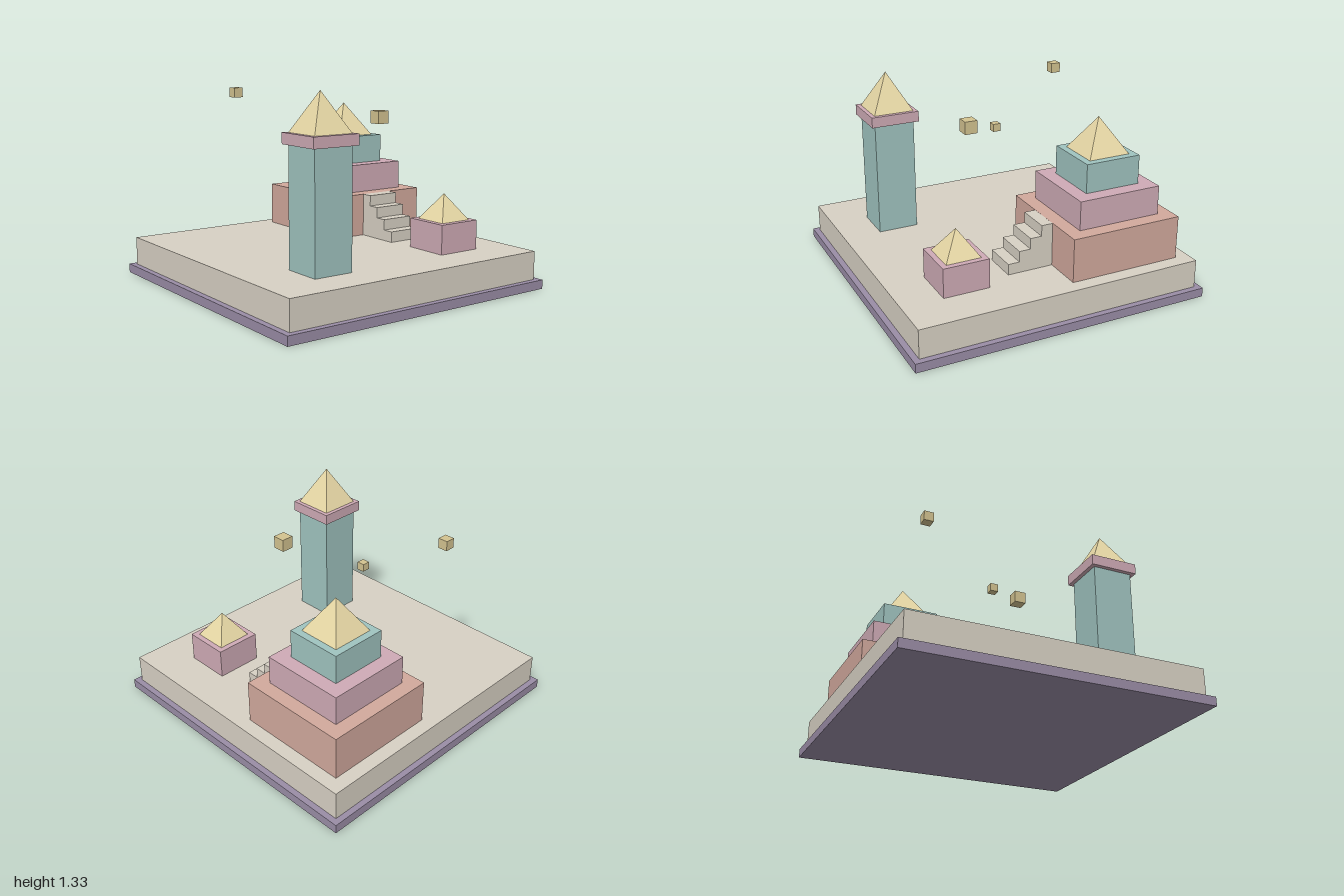
import * as THREE from 'three';

const mat = (color) => new THREE.MeshStandardMaterial({ color, flatShading: true });

export function createModel() {
  const model = new THREE.Group();
  const purple = mat(0x9a8da6), stone = mat(0xd8d1c4), coral = mat(0xd2a99d);
  const pink = mat(0xcfabb6), teal = mat(0xa0c4c0), sand = mat(0xe6d7a5), gold = mat(0xd3c390);

  const add = (parent, name, geometry, material, x, y, z) => {
    const mesh = new THREE.Mesh(geometry, material);
    mesh.name = name;
    mesh.position.set(x, y, z);
    parent.add(mesh);
  };
  // Square block standing between two heights
  const block = (parent, name, width, y0, y1, material) =>
    add(parent, name, new THREE.BoxGeometry(width, y1 - y0, width), material, 0, (y0 + y1) / 2, 0);
  // Four-sided roof with its sides along the axes
  const roof = (parent, width, y0, y1) => {
    const geometry = new THREE.ConeGeometry(width / Math.SQRT2, y1 - y0, 4).rotateY(Math.PI / 4);
    add(parent, 'pyramidRoof', geometry, sand, 0, (y0 + y1) / 2, 0);
  };
  const group = (name, x, z) => {
    const g = new THREE.Group();
    g.name = name;
    g.position.set(x, 0, z);
    model.add(g);
    return g;
  };

  // Ground
  const ground = group('ground', 0, 0);
  block(ground, 'basePlate', 2, 0, 0.06, purple);
  block(ground, 'platform', 1.92, 0.06, 0.25, stone);

  // Stepped temple
  const temple = group('steppedTemple', -0.483, -0.483);
  block(temple, 'lowerTier', 0.765, 0.25, 0.54, coral);
  block(temple, 'middleTier', 0.574, 0.54, 0.733, pink);
  block(temple, 'upperTier', 0.382, 0.733, 0.925, teal);
  roof(temple, 0.287, 0.925, 1.153);

  // Tall tower
  const tower = group('tower', 0.574, 0.48);
  block(tower, 'shaft', 0.27, 0.25, 1.01, teal);
  block(tower, 'cap', 0.325, 1.01, 1.08, pink);
  roof(tower, 0.27, 1.08, 1.33);

  // Small hut
  const hut = group('hut', 0.537, -0.542);
  block(hut, 'walls', 0.306, 0.25, 0.445, pink);
  roof(hut, 0.232, 0.445, 0.616);

  // Staircase: stepped profile extruded along z
  const profile = new THREE.Shape().moveTo(0, 0);
  const steps = 4, run = 0.0775, rise = 0.0725;
  for (let i = 0; i < steps; i++) {
    const y = (steps - i) * rise;
    profile.lineTo(i * run, y).lineTo((i + 1) * run, y);
  }
  profile.lineTo(steps * run, 0);
  const stairs = new THREE.ExtrudeGeometry(profile, { depth: 0.23, bevelEnabled: false });
  add(model, 'staircase', stairs, stone, -0.1, 0.25, -0.6);

  // Floating cubes: x, y, z, size
  const cubes = [[-0.62, 1.251, 0.341, 0.066], [0.286, 1.118, -0.196, 0.083], [-0.081, 0.943, 0.172, 0.053]];
  for (const [x, y, z, s] of cubes) add(model, 'floatingCube', new THREE.BoxGeometry(s, s, s), gold, x, y, z);

  return model;
}
